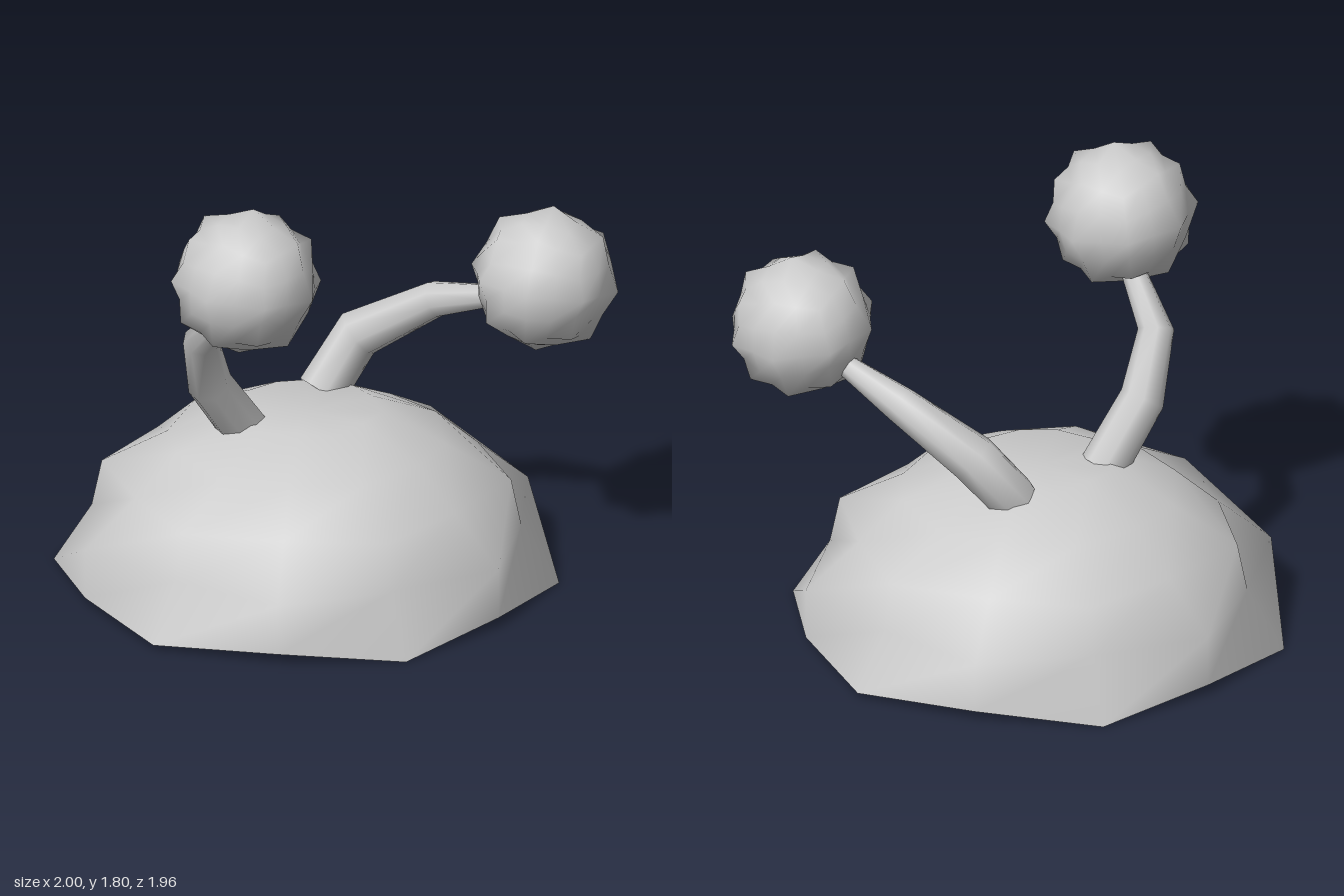
import * as THREE from 'three';
import { mergeVertices, toCreasedNormals } from 'three/addons/utils/BufferGeometryUtils.js';

const material = new THREE.MeshStandardMaterial({ color: 0xcccccc, side: THREE.DoubleSide });

function addMesh(parent, name, geometry) {
  const mesh = new THREE.Mesh(geometry, material);
  mesh.name = name;
  parent.add(mesh);
  return mesh;
}

// Open cap: twelve-sided crumpled rings from pole to hem, as two shells joined at the hem
function capGeometry() {
  const sides = 12;
  const rings = [ // height and radius of the even points, height and radius of the odd points
    [0.68, 0, 0.68, 0],
    [0.69, 0.3, 0.7, 0.28],
    [0.57, 0.55, 0.59, 0.55],
    [0.43, 0.81, 0.43, 0.73],
    [0.24, 0.85, 0.245, 0.945],
    [0.01, 1, 0.04, 0.945],
  ];
  const last = rings.length - 1;
  const positions = [];
  const index = [];

  for (const [shrink, drop] of [[1, 0], [0.98, 0.02]]) {
    rings.forEach((ring, i) => {
      for (let k = 0; k < sides; k++) {
        const angle = (k / sides) * Math.PI * 2;
        const odd = (k % 2) * 2;
        const radius = ring[odd + 1] * shrink;
        // the hem dips lowest away from the two side points
        const dip = i === last && k % 2 === 0 ? (k % 6 === 0 ? -0.01 : 0.01) : 0;
        positions.push(
          Math.cos(angle) * radius,
          ring[odd] - dip - (i === last ? 0 : drop),
          Math.sin(angle) * radius - 0.045,
        );
      }
    });
  }

  const innerStart = rings.length * sides;
  for (let k = 0; k < sides; k++) {
    const next = (k + 1) % sides;
    for (let i = 0; i < last; i++) {
      const a = i * sides + k;
      const b = i * sides + next;
      const c = a + sides;
      const d = b + sides;
      const faces = i === 0 ? [[a, d, c]] : [[a, b, d], [a, d, c]];
      for (const [p, q, r] of faces) {
        index.push(p, q, r, innerStart + p, innerStart + r, innerStart + q);
      }
    }
    const p = last * sides + k;
    const q = last * sides + next;
    index.push(p, q, innerStart + p, q, innerStart + q, innerStart + p);
  }
  const geometry = new THREE.BufferGeometry();
  geometry.setAttribute('position', new THREE.Float32BufferAttribute(positions, 3));
  geometry.setIndex(index);
  return toCreasedNormals(geometry, 1.3);
}

// Eight-sided stalk with one ring of its own radius at every path point
function stalkGeometry(path, radii) {
  const points = path.map((p) => new THREE.Vector3(...p));
  const curve = new THREE.CatmullRomCurve3(points);
  const steps = points.length - 1;
  const sides = 8;
  const geometry = new THREE.TubeGeometry(curve, steps, 1, sides, false);
  const position = geometry.attributes.position;
  const v = new THREE.Vector3();
  for (let i = 0; i < position.count; i++) {
    const ring = Math.floor(i / (sides + 1));
    v.fromBufferAttribute(position, i).sub(curve.getPointAt(ring / steps));
    v.multiplyScalar(radii[ring]).add(points[ring]);
    position.setXYZ(i, v.x, v.y, v.z);
  }
  return geometry;
}

// Knobbly ball: a rounded cube whose in-between points are pressed inwards
function ballGeometry(radius) {
  let geometry = new THREE.BoxGeometry(4, 4, 4, 4, 4, 4);
  geometry.deleteAttribute('normal');
  geometry.deleteAttribute('uv');
  geometry = mergeVertices(geometry);
  const position = geometry.attributes.position;
  const v = new THREE.Vector3();
  for (let i = 0; i < position.count; i++) {
    v.fromBufferAttribute(position, i);
    const between = v.toArray().some((n) => Math.abs(Math.round(n)) === 1);
    v.set(...v.toArray().map((n) => Math.tan((n / 2) * (Math.PI / 4))));
    v.setLength(radius * (between ? 0.9 : 1));
    position.setXYZ(i, v.x, v.y, v.z);
  }
  geometry.computeVertexNormals();
  return geometry;
}

export function createModel() {
  const model = new THREE.Group();
  model.name = 'bobbleCap';
  addMesh(model, 'cap', capGeometry());

  const antennae = [
    {
      side: 'right',
      path: [[-0.21, 0.64, -0.19], [-0.4, 0.89, -0.22], [-0.53, 1.13, -0.165], [-0.57, 1.31, 0]],
      radii: [0.095, 0.09, 0.072, 0.05],
      ball: [-0.64, 1.5, 0.14],
      turn: [0.07, 0.1, -0.07],
      radius: 0.305,
    },
    {
      side: 'left',
      path: [[0.25, 0.65, -0.16], [0.41, 0.86, -0.1], [0.53, 1.04, 0.19], [0.55, 1.12, 0.47]],
      radii: [0.1, 0.102, 0.075, 0.045],
      ball: [0.58, 1.24, 0.69],
      turn: [0.1, 0.38, -0.15],
      radius: 0.3,
    },
  ];
  for (const { side, path, radii, ball, turn, radius } of antennae) {
    const antenna = new THREE.Group();
    antenna.name = `${side}Antenna`;
    addMesh(antenna, `${side}Stalk`, stalkGeometry(path, radii));
    const bobble = addMesh(antenna, `${side}Bobble`, ballGeometry(radius));
    bobble.position.set(...ball);
    bobble.rotation.set(...turn);
    model.add(antenna);
  }
  return model;
}
